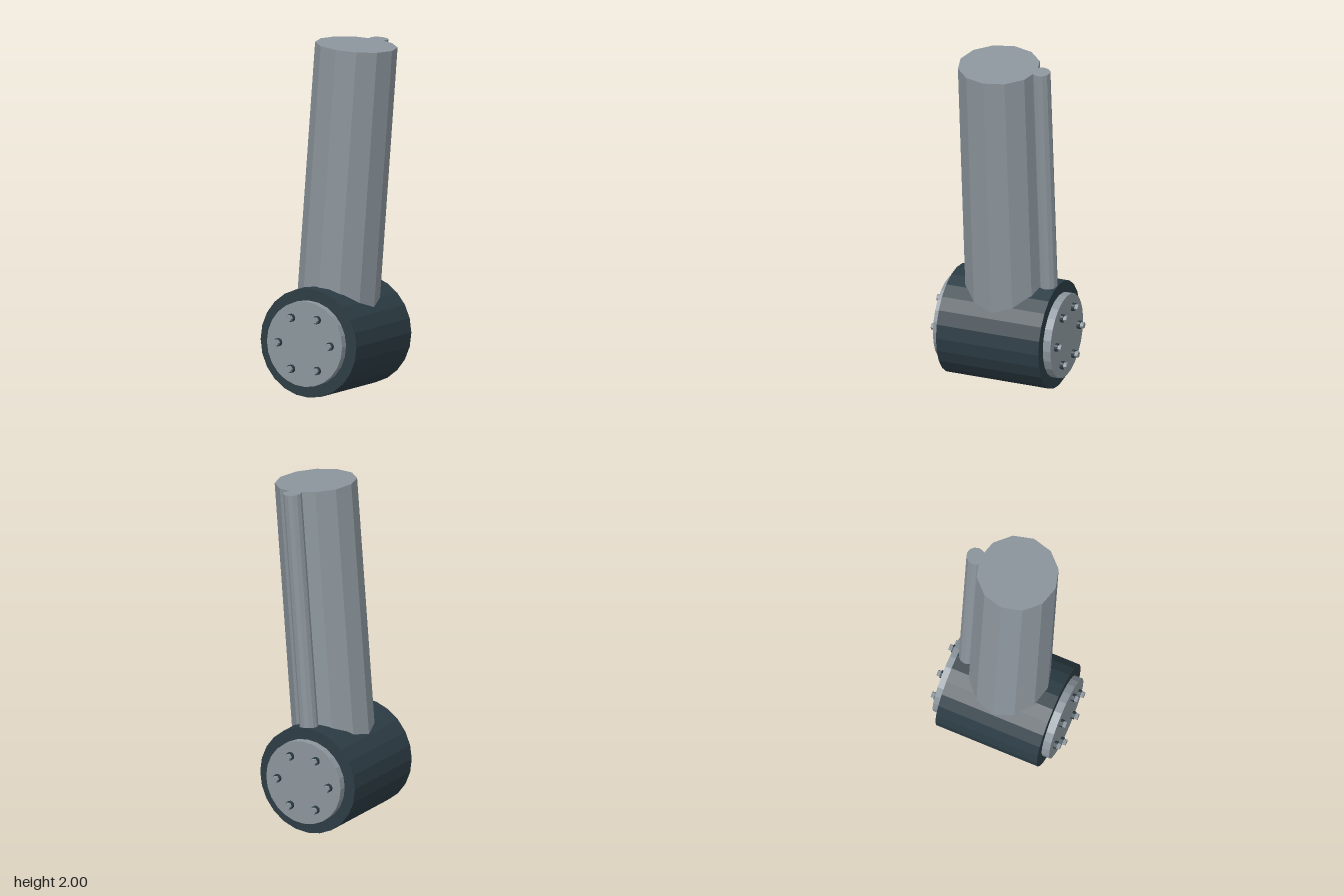
import * as THREE from 'three';

export function createModel() {
  const model = new THREE.Group();
  model.name = 'pivotArm';

  const steel = new THREE.MeshStandardMaterial({ color: 0x8c969d, flatShading: true });
  steel.name = 'steel grey';
  const dark = new THREE.MeshStandardMaterial({ color: 0x2c3c44, flatShading: true });
  dark.name = 'dark slate';

  function cylinder(name, radius, length, sides, material, parent) {
    const mesh = new THREE.Mesh(new THREE.CylinderGeometry(radius, radius, length, sides), material);
    mesh.name = name;
    parent.add(mesh);
    return mesh;
  }

  // Hinge: everything here is centred on the pivot axis, which runs along z
  const hinge = new THREE.Group();
  hinge.name = 'hinge';
  hinge.position.set(-0.028, 0.311, -0.0015);
  model.add(hinge);
  cylinder('drum', 0.311, 0.623, 24, dark, hinge).rotation.x = Math.PI / 2;

  // End caps with a ring of six bolts, front and back
  for (const side of [1, -1]) {
    const label = side > 0 ? 'front' : 'back';
    const cap = cylinder(label + 'Cap', 0.244, 0.05, 24, steel, hinge);
    cap.rotation.x = Math.PI / 2;
    cap.position.z = side * 0.3325;
    for (let i = 0; i < 6; i++) {
      const a = (i * Math.PI) / 3;
      const bolt = new THREE.Group();
      bolt.name = label + 'Bolt' + (i + 1);
      bolt.position.set(0.1675 * Math.cos(a), 0.1675 * Math.sin(a), side * 0.3575);
      bolt.rotation.x = side * Math.PI / 2;
      hinge.add(bolt);
      cylinder('washer', 0.0235, 0.018, 12, dark, bolt).position.y = 0.009;
      const head = cylinder('boltHead', 0.0185, 0.02, 6, steel, bolt);
      head.position.y = 0.028;
      head.rotation.y = Math.PI / 6;
    }
  }

  // Leaning arm: a twelve-sided post with a thin conduit down its back
  const arm = new THREE.Group();
  arm.name = 'arm';
  arm.position.set(-0.028, 0.311, 0);
  arm.rotation.z = -Math.atan2(0.133, 1.671);
  model.add(arm);
  cylinder('post', 0.233, 1.676, 12, steel, arm).position.y = 0.838;
  cylinder('conduit', 0.053, 1.676, 12, steel, arm).position.set(0, 0.838, -0.2575);

  return model;
}
